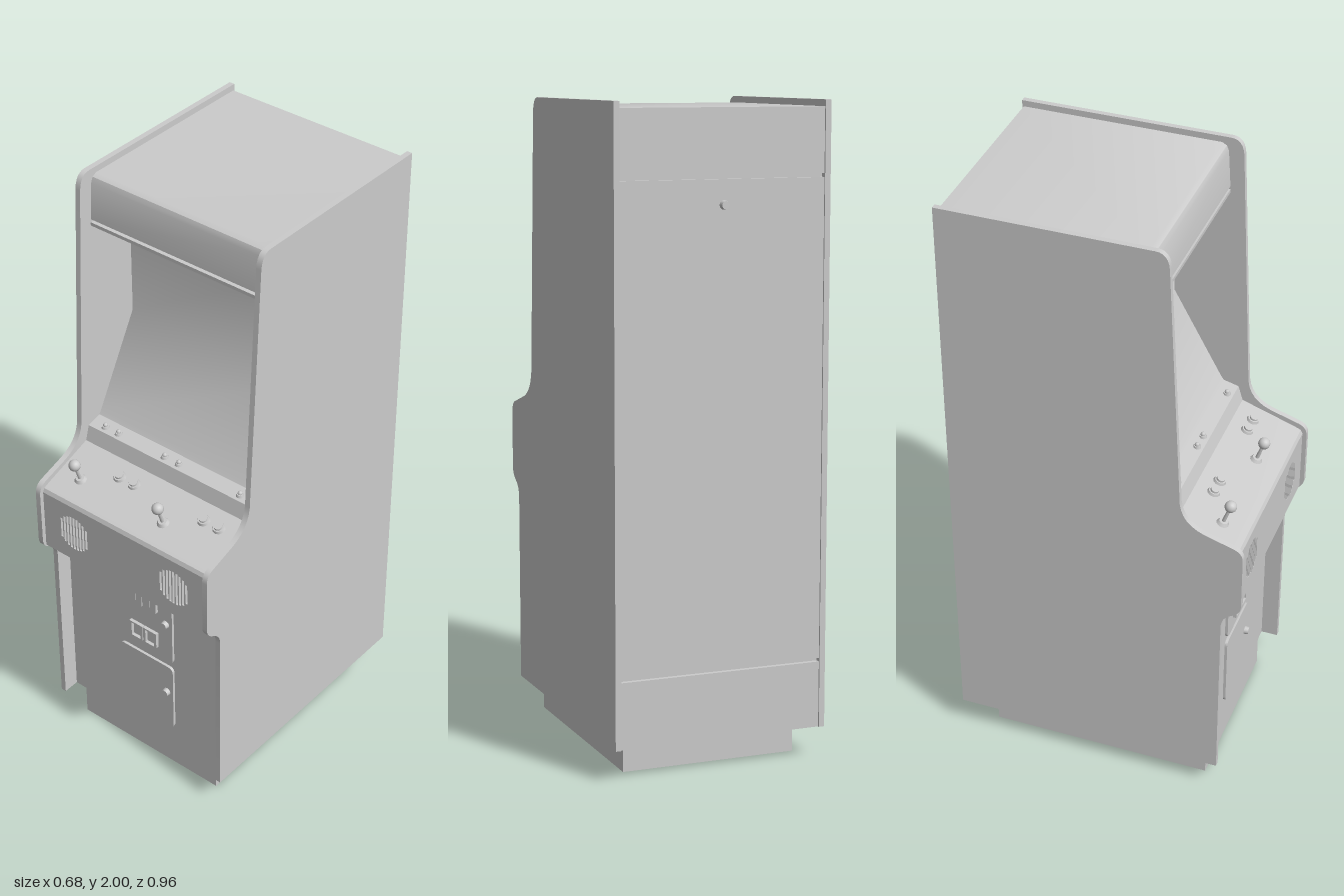
import * as THREE from 'three';
import { toCreasedNormals } from 'three/addons/utils/BufferGeometryUtils.js';

const grey = new THREE.MeshStandardMaterial({ color: 0xcccccc });

export function createModel() {
  const root = new THREE.Group();
  root.name = 'arcadeCabinet';

  const add = (name, geo, x = 0, y = 0, z = 0, parent = root) => {
    const m = new THREE.Mesh(geo, grey);
    m.name = name;
    m.position.set(x, y, z);
    parent.add(m);
    return m;
  };
  const box = (name, w, h, d, x, y, z, parent) => add(name, new THREE.BoxGeometry(w, h, d), x, y, z, parent);
  // (z, y) outline extruded across x, centred on x = 0
  const acrossX = (shape, width) => {
    const g = new THREE.ExtrudeGeometry(shape, { depth: width, bevelEnabled: false, curveSegments: 6 });
    g.rotateY(-Math.PI / 2).translate(width / 2, 0, 0);
    return toCreasedNormals(g, 0.6);
  };
  // panel in the x-y plane with a front face at z = depth
  const plate = (shape, depth) =>
    new THREE.ExtrudeGeometry(shape, { depth, bevelEnabled: false, curveSegments: 6 });

  // side panels
  const side = new THREE.Shape();
  side.moveTo(-0.465, 0.1);
  side.lineTo(0.42, 0.1);
  side.lineTo(0.42, 0.7);
  side.quadraticCurveTo(0.42, 0.735, 0.45, 0.752);
  side.quadraticCurveTo(0.482, 0.768, 0.482, 0.795);
  side.lineTo(0.482, 0.975);
  side.quadraticCurveTo(0.482, 1.005, 0.455, 1.015);
  side.lineTo(0.36, 1.045);
  side.quadraticCurveTo(0.29, 1.07, 0.282, 1.14);
  side.lineTo(0.242, 1.95);
  side.quadraticCurveTo(0.238, 2, 0.2, 2);
  side.lineTo(-0.465, 2);
  const sideGeo = acrossX(side, 0.018);
  add('leftSidePanel', sideGeo, 0.332);
  add('rightSidePanel', sideGeo, -0.332);

  // inner body: front panel, control deck, button shelf, screen, marquee and back with seams
  const profile = [
    [-0.455, 0.1], [0.365, 0.1], [0.365, 0.77], [0.445, 0.77], [0.445, 0.98],
    [0.468, 0.98], [0.462, 0.993], [0.44, 1.002], [0.265, 1.062], [0.25, 1.112],
    [0.2, 1.125], [0.19, 1.14], [0.03, 1.43], [0.03, 1.815],
    [0.203, 1.815], [0.203, 1.826], [0.188, 1.826], [0.188, 1.836], [0.202, 1.836],
    [0.194, 1.955], [0.187, 1.972], [0.172, 1.98], [-0.46, 1.98],
    [-0.46, 1.785], [-0.445, 1.785], [-0.445, 1.774], [-0.46, 1.774],
    [-0.46, 0.316], [-0.445, 0.316], [-0.445, 0.305], [-0.46, 0.305], [-0.46, 0.1],
  ];
  add('body', acrossX(new THREE.Shape(profile.map(([z, y]) => new THREE.Vector2(z, y))), 0.646));
  box('base', 0.56, 0.1, 0.73, 0, 0.05, 0);

  // speaker panel with two round grilles of vertical slots
  const speakerPanel = new THREE.Shape();
  speakerPanel.moveTo(-0.323, 0.77).lineTo(0.323, 0.77).lineTo(0.323, 0.98).lineTo(-0.323, 0.98);
  for (const cx of [-0.2, 0.2]) {
    for (let i = -4; i <= 4; i++) {
      const x = cx + i * 0.0125, h = Math.sqrt(0.062 ** 2 - (i * 0.0125) ** 2), w = 0.004;
      const slot = new THREE.Path();
      slot.moveTo(x - w, 0.878 - h).lineTo(x - w, 0.878 + h).lineTo(x + w, 0.878 + h).lineTo(x + w, 0.878 - h);
      speakerPanel.holes.push(slot);
    }
  }
  add('speakerPanel', plate(speakerPanel, 0.023), 0, 0, 0.445);

  // joysticks and play buttons, standing square on the sloped deck
  const slope = Math.atan2(0.06, 0.175);
  const onDeck = (name, x, z) => {
    const g = new THREE.Group();
    g.name = name;
    g.position.set(x, 1.002 + (0.44 - z) * Math.tan(slope), z);
    g.rotation.x = slope;
    root.add(g);
    return g;
  };
  const cyl = (rTop, rBottom, h, n = 12) => new THREE.CylinderGeometry(rTop, rBottom, h, n);
  for (const x of [-0.24, 0.092]) {
    const g = onDeck('joystick', x, 0.385);
    add('joystickCollar', cyl(0.014, 0.02, 0.01), 0, 0.005, 0, g);
    add('joystickShaft', cyl(0.005, 0.006, 0.07, 8), 0, 0.035, 0, g);
    add('joystickBall', new THREE.SphereGeometry(0.019, 14, 10), 0, 0.073, 0, g);
  }
  for (const x of [-0.135, -0.077, 0.198, 0.256]) {
    const g = onDeck('playButton', x, 0.321);
    add('buttonRim', cyl(0.018, 0.021, 0.008, 10), 0, 0.004, 0, g);
    add('buttonCap', cyl(0.013, 0.014, 0.014, 10), 0, 0.007, 0, g);
  }

  // small buttons on the shelf under the screen
  for (const x of [-0.27, -0.216, -0.03, 0.026, 0.264]) {
    add('shelfButtonRim', cyl(0.011, 0.013, 0.008, 10), x, 1.12, 0.231);
    add('shelfButton', new THREE.SphereGeometry(0.008, 10, 6), x, 1.126, 0.231);
  }

  // coin doors with rounded corners
  const door = (name, y0, y1) => {
    const l = -0.11, r = 0.11, c = 0.02, s = new THREE.Shape();
    s.moveTo(l + c, y0).lineTo(r - c, y0).quadraticCurveTo(r, y0, r, y0 + c);
    s.lineTo(r, y1 - c).quadraticCurveTo(r, y1, r - c, y1);
    s.lineTo(l + c, y1).quadraticCurveTo(l, y1, l, y1 - c);
    s.lineTo(l, y0 + c).quadraticCurveTo(l, y0, l + c, y0);
    add(name, plate(s, 0.01), 0, 0, 0.364);
  };
  door('upperCoinDoor', 0.44, 0.705);
  door('lowerCoinDoor', 0.16, 0.42);

  // coin slots above, framed coin returns below
  for (const x of [-0.031, 0.026]) {
    box('coinPlate', 0.054, 0.056, 0.014, x, 0.66, 0.378);
    box('coinSlotLip', 0.006, 0.03, 0.004, x, 0.662, 0.386);
    const frame = new THREE.Shape();
    frame.moveTo(-0.027, -0.029).lineTo(0.027, -0.029).lineTo(0.027, 0.029).lineTo(-0.027, 0.029);
    const hole = new THREE.Path();
    hole.moveTo(-0.018, -0.027).lineTo(-0.018, 0.023).lineTo(0.018, 0.023).lineTo(0.018, -0.027);
    frame.holes.push(hole);
    add('coinReturn', plate(frame, 0.012), x, 0.516, 0.373);
  }

  // locks on the coin doors and the back door
  const lock = (x, y, z, r) => {
    const g = cyl(r * 0.85, r, 0.016).rotateX(Math.PI / 2 * Math.sign(z));
    add('lock', g, x, y, z);
  };
  lock(0.085, 0.6, 0.38, 0.014);
  lock(0.085, 0.312, 0.38, 0.014);
  lock(0, 1.7, -0.471, 0.014);

  return root;
}
